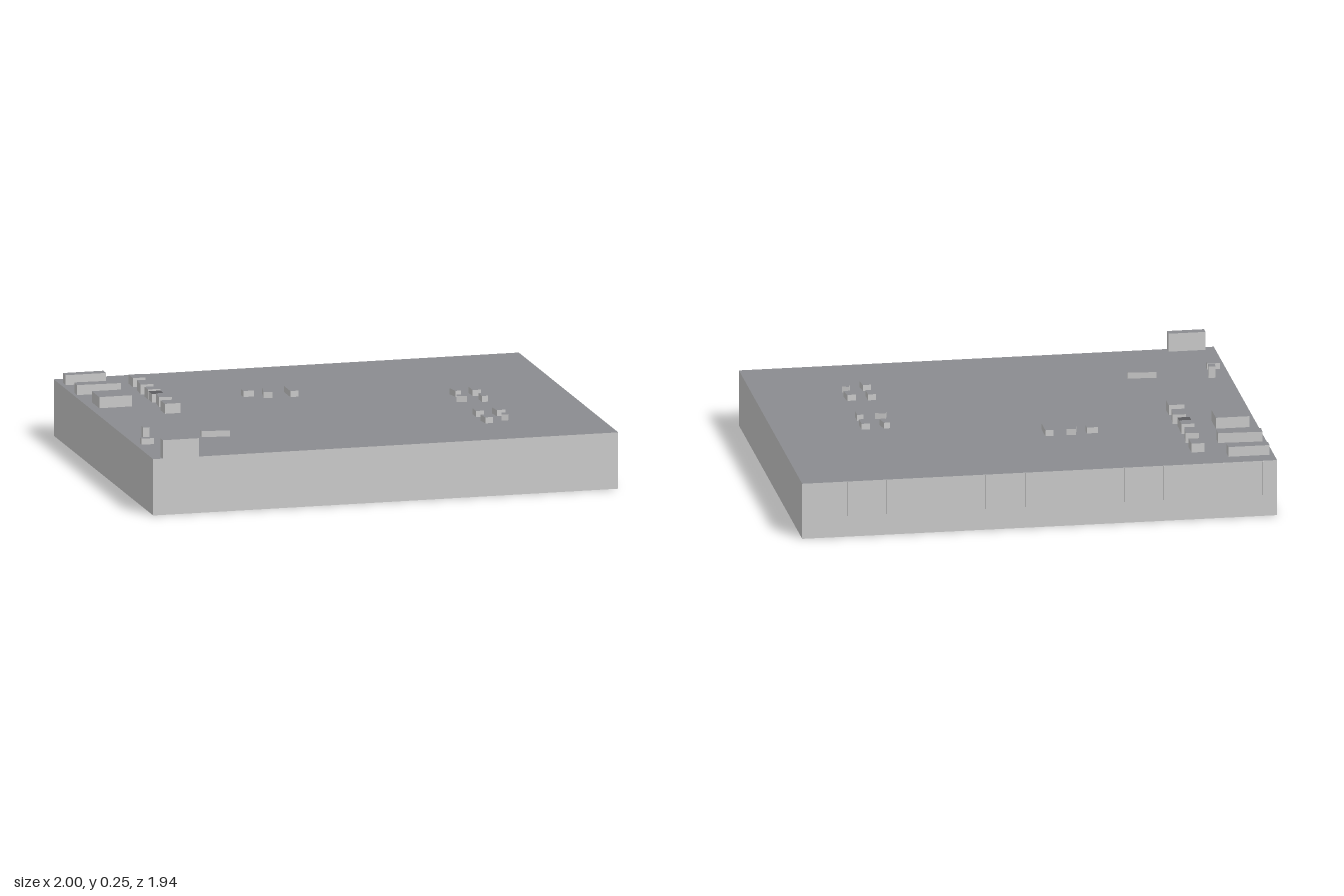
import * as THREE from 'three';

const LENGTH = 1.56, WIDTH = 1.245, ROOF = 0.187, TURN = 0.651;

// Rooftop blocks: [x, z, length, width, top height, own turn]
const roofBlocks = {
  largeUnit: [
    [-0.885, -0.01, 0.135, 0.035, 0.22],
    [-0.79, 0.11, 0.145, 0.042, 0.22, -0.05],
    [-0.68, 0.255, 0.11, 0.092, 0.224],
  ],
  edgeVent: [
    [-0.715, -0.045, 0.043, 0.055, 0.217],
    [-0.65, 0.043, 0.043, 0.065, 0.22, -0.1],
    [-0.596, 0.113, 0.042, 0.042, 0.22],
    [-0.52, 0.2, 0.043, 0.06, 0.22, -0.1],
    [-0.463, 0.284, 0.052, 0.055, 0.22],
  ],
  darkVent: [[-0.568, 0.15, 0.04, 0.045, 0.215]],
  middleVent: [
    [-0.323, -0.032, 0.036, 0.032, 0.207],
    [-0.265, -0.06, 0.03, 0.072, 0.207, -0.2],
    [-0.2, -0.105, 0.027, 0.078, 0.207],
  ],
  cornerVent: [
    [-0.19, 0.568, 0.094, 0.026, 0.207, -0.12],
    [-0.388, 0.68, 0.022, 0.03, 0.225, -0.1],
    [-0.35, 0.76, 0.042, 0.022, 0.207],
  ],
  stairHead: [[-0.178, 0.9, 0.122, 0.03, 0.248]],
  farVent: [
    [0.297, -0.294, 0.02, 0.046, 0.207, 0.18],
    [0.35, -0.332, 0.028, 0.05, 0.207],
    [0.41, -0.257, 0.02, 0.046, 0.207],
    [0.35, -0.22, 0.034, 0.024, 0.207, -0.3],
    [0.48, -0.043, 0.026, 0.047, 0.207],
    [0.537, -0.08, 0.03, 0.045, 0.207, 0.1],
    [0.585, -0.016, 0.022, 0.028, 0.207, -0.3],
    [0.543, 0.037, 0.026, 0.045, 0.207, 0.1],
  ],
};

// Box without its bottom: walls in group 0, and an optional top in group 1
function openBox(w, h, d, hasTop) {
  const geo = new THREE.BoxGeometry(w, h, d);
  const idx = Array.from(geo.index.array);
  const walls = [...idx.slice(0, 12), ...idx.slice(24)];
  geo.setIndex(hasTop ? [...walls, ...idx.slice(12, 18)] : walls);
  geo.clearGroups();
  geo.addGroup(0, 24, 0);
  if (hasTop) geo.addGroup(24, 6, 1);
  return geo.translate(0, h / 2, 0);
}

// Corners of a turned rectangle in the roof plane
function rectPoints(cx, cz, w, d, turn = 0) {
  const centre = new THREE.Vector2(cx, -cz), origin = new THREE.Vector2();
  return [[-1, -1], [1, -1], [1, 1], [-1, 1]].map(([a, b]) =>
    new THREE.Vector2(a * w / 2, -b * d / 2).rotateAround(origin, turn).add(centre));
}

export function createModel() {
  const model = new THREE.Group();
  model.name = 'building';
  const paint = (color) => new THREE.MeshStandardMaterial({
    color, flatShading: true, side: THREE.DoubleSide,
  });
  const wallGrey = paint(0xcccccc), roofGrey = paint(0x8b8c90), darkGrey = paint(0x5c5c5f);

  // Everything is laid out square, then turned as a whole
  const hall = new THREE.Group();
  hall.name = 'hall';
  hall.rotation.y = TURN;
  model.add(hall);
  const add = (name, geo, material, x = 0, y = 0, z = 0) => {
    const mesh = new THREE.Mesh(geo, material);
    mesh.name = name;
    mesh.position.set(x, y, z);
    hall.add(mesh);
    return mesh;
  };

  // Outer walls, open underneath
  add('outerWalls', openBox(LENGTH, ROOF, WIDTH, false), [wallGrey]);

  // Rooftop blocks, each hollow and standing over an opening
  const roofShape = new THREE.Shape(rectPoints(0, 0, LENGTH, WIDTH));
  const c = Math.cos(TURN), s = Math.sin(TURN);
  for (const [name, list] of Object.entries(roofBlocks)) {
    const topPaint = name === 'darkVent' ? darkGrey : roofGrey;
    for (const [x, z, w, d, top, turn = 0] of list) {
      const u = x * c - z * s, v = x * s + z * c;
      const block = add(name, openBox(w, top - ROOF, d, true), [wallGrey, topPaint], u, ROOF, v);
      block.rotation.y = turn;
      roofShape.holes.push(new THREE.Path(rectPoints(u, v, w, d, turn)));
    }
  }

  // Flat roof, darker than the walls
  add('roof', new THREE.ShapeGeometry(roofShape).rotateX(-Math.PI / 2), roofGrey, 0, ROOF, 0);

  // Thin upright fins along the upper back wall
  const fins = 24;
  for (let i = 0; i < fins; i++) {
    const x = ((i + 0.7) / fins - 0.5) * LENGTH;
    add('wallFin', new THREE.BoxGeometry(0.004, 0.115, 0.004), wallGrey, x, ROOF - 0.0585, -WIDTH / 2 - 0.001);
  }
  return model;
}
